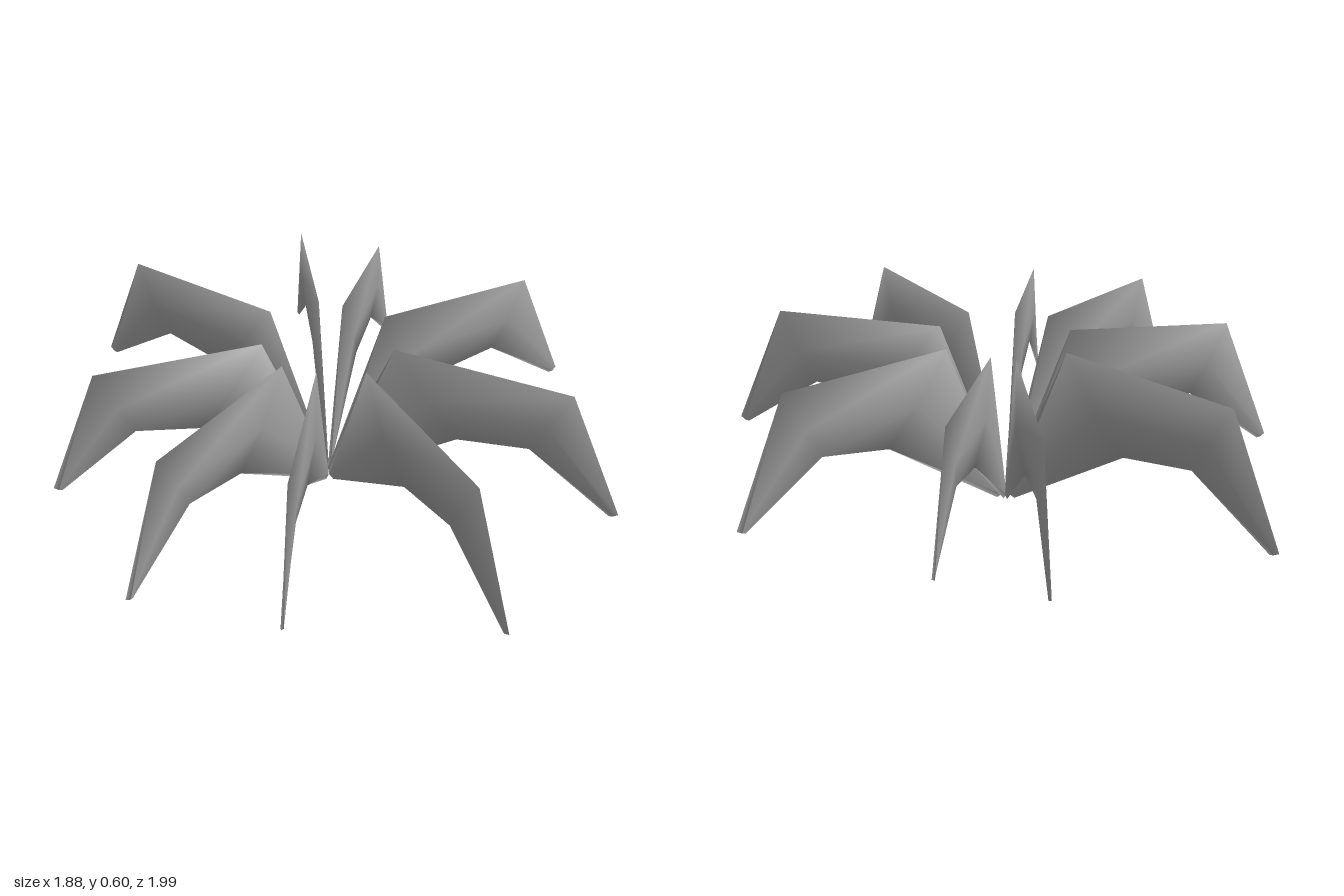
import * as THREE from 'three';

// Cross-sections along a blade: [upper reach, upper y, lower reach, lower y, half thickness]
// Reach is a fraction of the blade's length.
const SECTIONS = [
  [0.0, 0.03, 0.035, 0.004, 0.006],
  [0.23, 0.6, 0.45, 0.29, 0.016],
  [0.815, 0.57, 0.69, 0.32, 0.014],
  [1.0, 0.13, 0.97, 0.116, 0.005],
];

// Where all blades meet, and where each blade ends (x, z)
const CENTRE = [-0.03, -0.07];
const TIPS = [
  [0.94, -0.06], [0.63, 0.72], [0.01, 0.99], [-0.58, 0.635], [-0.94, 0.285],
  [-0.945, -0.325], [-0.46, -1.0], [0.285, -0.88], [0.535, -0.61],
];

// Bent, thin blade with a diamond cross-section and smooth normals
function bladeGeometry(length) {
  const positions = [];
  const index = [];
  const ridge = 0.56; // height of the side ridge between upper and lower edge
  for (const [us, uy, ls, ly, w] of SECTIONS) {
    const ms = THREE.MathUtils.lerp(us, ls, ridge) * length;
    const my = THREE.MathUtils.lerp(uy, ly, ridge);
    positions.push(us * length, uy, 0, ms, my, w, ls * length, ly, 0, ms, my, -w);
  }
  for (let i = 0; i < SECTIONS.length - 1; i++) {
    for (let k = 0; k < 4; k++) {
      const a = i * 4 + k;
      const b = i * 4 + ((k + 1) % 4);
      index.push(a, b, a + 4, b, b + 4, a + 4);
    }
  }
  // end caps
  const e = (SECTIONS.length - 1) * 4;
  index.push(0, 2, 1, 0, 3, 2, e, e + 1, e + 2, e, e + 2, e + 3);
  const geometry = new THREE.BufferGeometry();
  geometry.setAttribute('position', new THREE.Float32BufferAttribute(positions, 3));
  geometry.setIndex(index);
  geometry.computeVertexNormals();
  return geometry;
}

export function createModel() {
  const group = new THREE.Group();
  group.name = 'bladeCluster';
  const grey = new THREE.MeshStandardMaterial({ color: 0x999999 });
  grey.name = 'grey';

  // Blades radiating from the shared base
  TIPS.forEach(([x, z], i) => {
    const dx = x - CENTRE[0];
    const dz = z - CENTRE[1];
    const blade = new THREE.Mesh(bladeGeometry(Math.hypot(dx, dz)), grey);
    blade.name = `blade${i + 1}`;
    blade.position.set(CENTRE[0], 0, CENTRE[1]);
    blade.rotation.y = Math.atan2(-dz, dx);
    group.add(blade);
  });
  return group;
}
